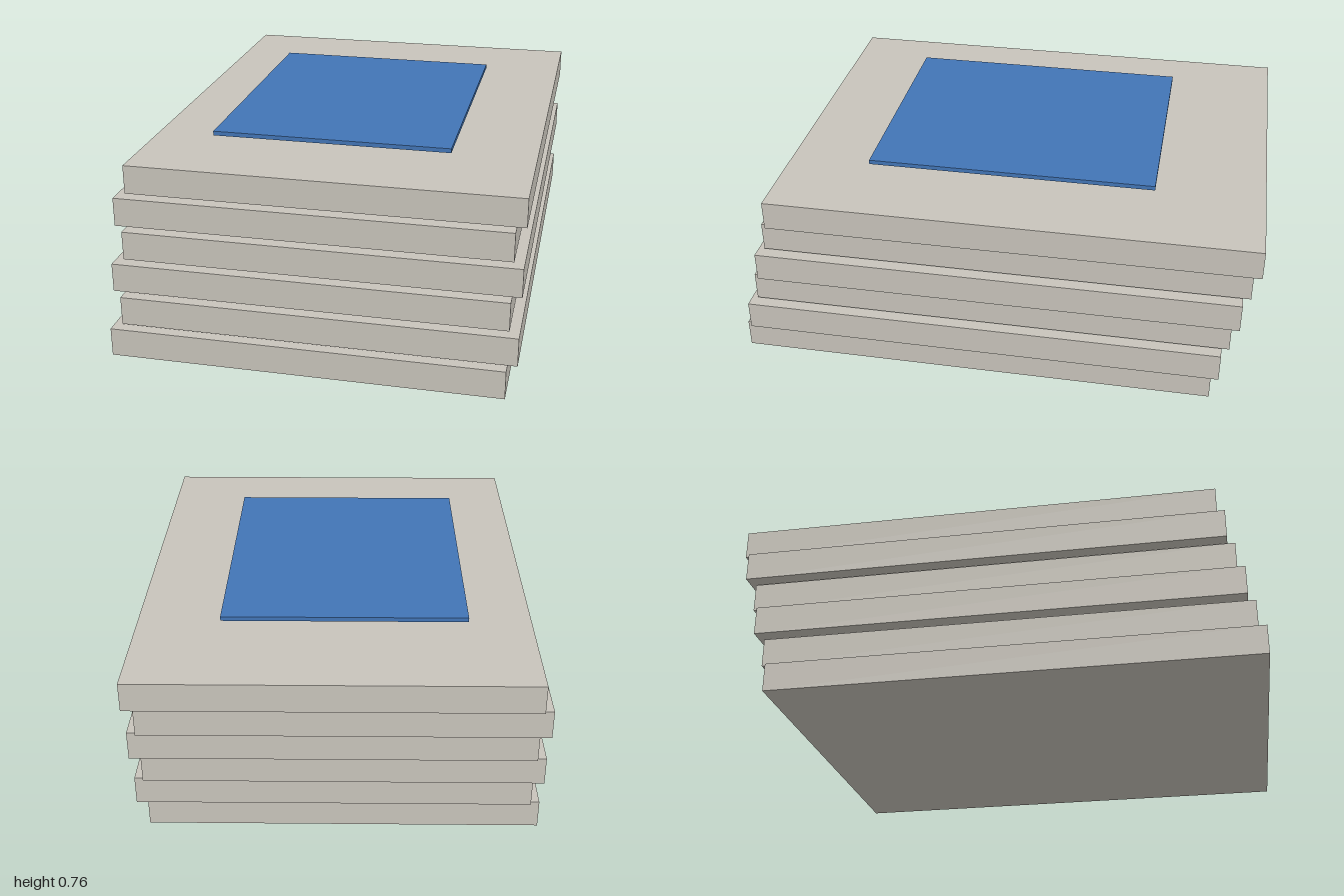
import * as THREE from 'three';

export function createModel() {
  const model = new THREE.Group();
  model.name = 'slabStack';

  const stone = new THREE.MeshStandardMaterial({ color: 0xc8c4bb });
  stone.name = 'warm grey';
  const blue = new THREE.MeshStandardMaterial({ color: 0x4275b6 });
  blue.name = 'blue';

  function addBox(name, material, size, position) {
    const mesh = new THREE.Mesh(new THREE.BoxGeometry(...size), material);
    mesh.name = name;
    mesh.position.set(...position);
    model.add(mesh);
  }

  // Six slabs, staggered sideways and stepping back as they rise
  const count = 6, height = 0.111, pitch = 0.1215;
  for (let i = 0; i < count; i++) {
    const x = i % 2 ? 0.0185 : -0.0185;
    const z = 0.071 - i * 0.0284;
    addBox(`slab${i + 1}`, stone, [1.486, height, 1.858], [x, height / 2 + i * pitch, z]);
  }

  // Thin cover sheet hovering just above the top slab
  addBox('coverSheet', blue, [0.929, 0.017, 1.115], [-0.0195, 0.747, -0.027]);

  return model;
}
